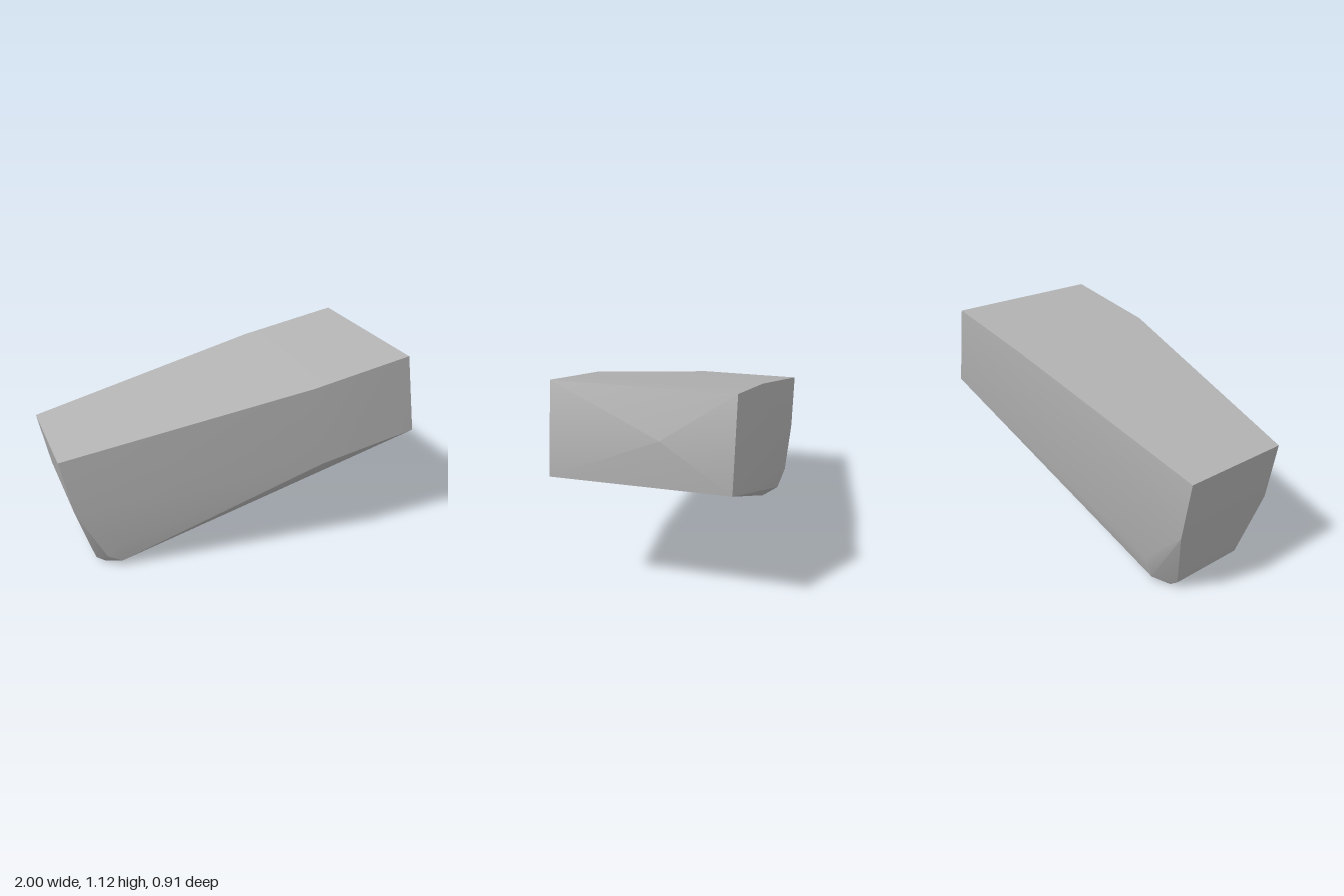
import * as THREE from 'three';
import { ConvexGeometry } from 'three/addons/geometries/ConvexGeometry.js';
import { toCreasedNormals } from 'three/addons/utils/BufferGeometryUtils.js';

export function createModel() {
  const group = new THREE.Group();
  const stone = new THREE.MeshStandardMaterial({ color: 0xb2b2b2 });
  stone.name = 'stone grey';

  // Each station: x, y, back z, front z
  const stations = [
    [-1, 0.72, -0.42, 0.2], // low end of the top
    [0.32, 1.02, -0.455, 0.455], // bend in the top
    [0.89, 1.12, -0.455, 0.455], // high end of the top
    [0.97, 0.66, -0.455, 0.45], // lower edge of the high end
    [-0.94, 0.4, -0.42, 0.2], // bend in the low end
    [-0.83, 0.04, -0.32, 0.12], // foot, outer edge
    [-0.78, 0.003, -0.32, 0.12], // foot, lowest edge
    [-0.5, 0.05, -0.32, 0.12], // foot, inner edge
    [-0.7, 0.035, -0.38, 0.2], // foot, rounded sides
    [-0.7, 0.17, -0.425, 0.23], // foot, upper rounding
  ];
  const points = stations.flatMap(([x, y, back, front]) => [
    new THREE.Vector3(x, y - 0.003, back),
    new THREE.Vector3(x, y - 0.003, front),
  ]);
  points.push(
    new THREE.Vector3(0.4, 0.557, 0.455), // front lower corner
    new THREE.Vector3(-0.78, 0.075, 0.19), // front foot rounding
    new THREE.Vector3(1, 0.9, -0.12), // peak of the high end
  );

  const block = new THREE.Mesh(toCreasedNormals(new ConvexGeometry(points), 0.45), stone);
  block.name = 'stoneBlock';
  group.add(block);
  return group;
}
